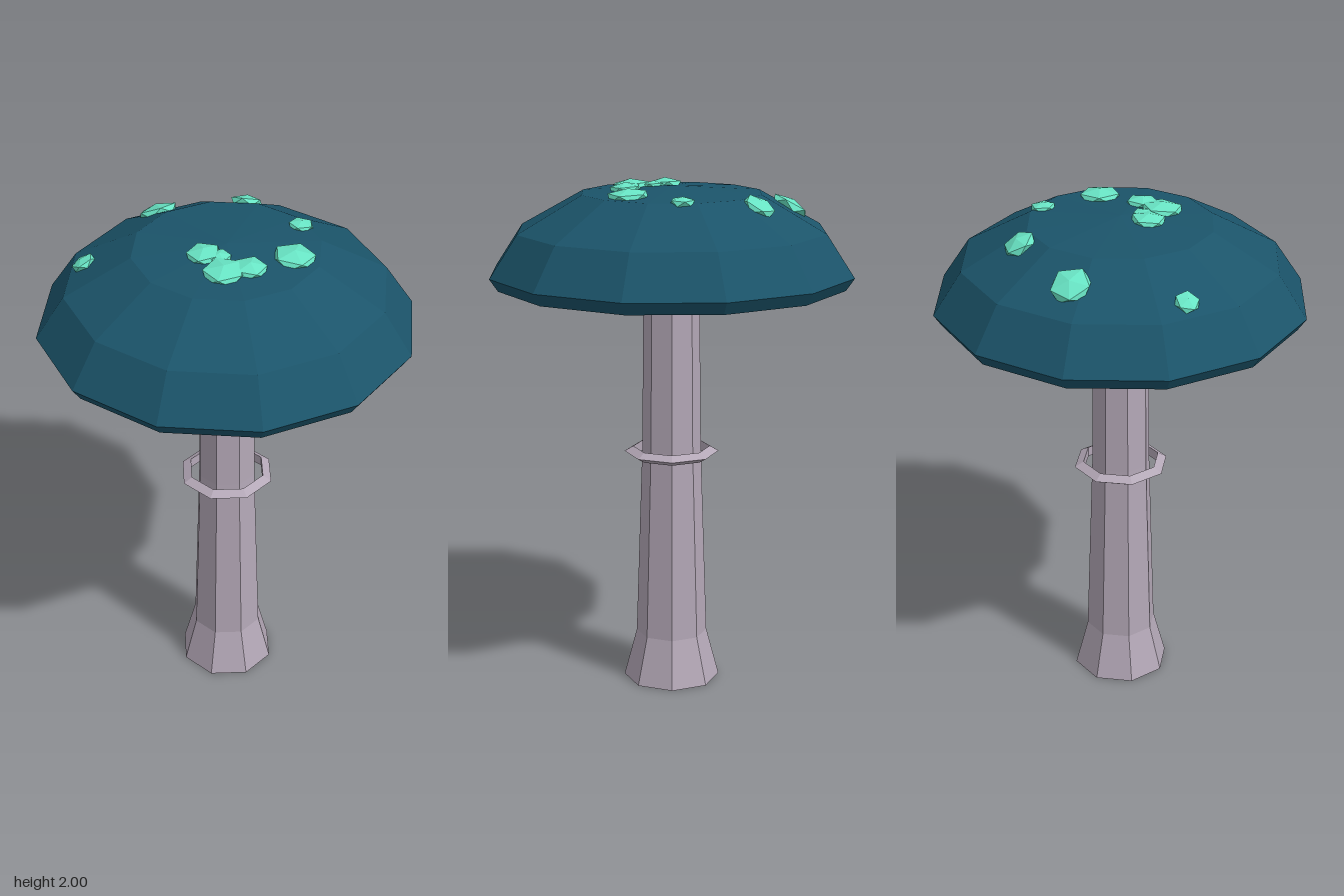
import * as THREE from 'three';

const mat = (name, color) => {
  const m = new THREE.MeshStandardMaterial({ color, flatShading: true });
  m.name = name;
  return m;
};

const CAP_PROFILE = [[0, 1.6], [0.675, 1.6], [0.708, 1.648], [0.6, 1.81], [0.35, 1.95], [0, 1.975]];

function lathe(name, points, sides, material) {
  const geo = new THREE.LatheGeometry(points.map(p => new THREE.Vector2(...p)), sides);
  const mesh = new THREE.Mesh(geo, material);
  mesh.name = name;
  return mesh;
}

// Height and slope of the upper cap surface at a distance from its axis
function capSurface(r) {
  for (let i = 2; i < CAP_PROFILE.length - 1; i++) {
    const [r0, y0] = CAP_PROFILE[i], [r1, y1] = CAP_PROFILE[i + 1];
    if (r <= r0 && r >= r1) {
      const slope = (y1 - y0) / (r1 - r0);
      return { y: y0 + (r - r0) * slope, slope };
    }
  }
  return { y: 1.65, slope: 0 };
}

export function createModel() {
  const group = new THREE.Group();
  group.name = 'mushroom';
  const stemMat = mat('pale mauve', 0xb4a8b7);
  stemMat.side = THREE.DoubleSide;
  const capMat = mat('deep teal', 0x1b546a);
  const gillMat = mat('soft mint', 0x6cd6c0);
  const spotMat = mat('mint', 0x68e4c4);

  // Hollow stem with flared, open foot
  group.add(lathe('stem', [[0.19, 0], [0.14, 0.19], [0.115, 0.95], [0.108, 1.6]], 8, stemMat));

  // Loose collar around the stem, triangular in section
  const ringGeo = new THREE.TorusGeometry(0.162, 0.023, 3, 8).rotateX(Math.PI / 2);
  const ring = new THREE.Mesh(ringGeo, stemMat);
  ring.name = 'collar';
  ring.position.y = 0.935;
  group.add(ring);

  // Cap and the shallow gill cone below it, with a hole for the stem
  group.add(lathe('cap', CAP_PROFILE, 12, capMat));
  group.add(lathe('gills', [[0.12, 1.566], [0.655, 1.594]], 12, gillMat));

  // Flattened spots lying on the cap: x, z, radius
  const spots = [
    [-0.06, -0.39, 0.06], [-0.375, -0.27, 0.073], [0.2, -0.25, 0.045],
    [0.25, -0.02, 0.076], [-0.055, 0.09, 0.062], [0.005, 0.09, 0.042],
    [0.05, 0.17, 0.075], [0.13, 0.115, 0.06], [-0.52, 0.11, 0.044],
  ];
  const up = new THREE.Vector3(0, 1, 0);
  const corner = new THREE.Vector3(0, 1, (1 + Math.sqrt(5)) / 2).normalize();
  const spotGeo = new THREE.IcosahedronGeometry(1, 0);
  spotGeo.applyQuaternion(new THREE.Quaternion().setFromUnitVectors(corner, up));
  spots.forEach(([x, z, size], i) => {
    const r = Math.hypot(x, z);
    const { y, slope } = capSurface(r);
    const normal = new THREE.Vector3(-slope * x / r, 1, -slope * z / r).normalize();
    const spot = new THREE.Mesh(spotGeo, spotMat);
    spot.name = 'spot' + (i + 1);
    spot.position.set(x, y, z);
    spot.quaternion.setFromUnitVectors(up, normal);
    spot.rotateY(i * 1.9);
    spot.scale.set(size * 1.13, Math.min(size * 0.45, 0.03), size * 1.13);
    group.add(spot);
  });
  return group;
}
